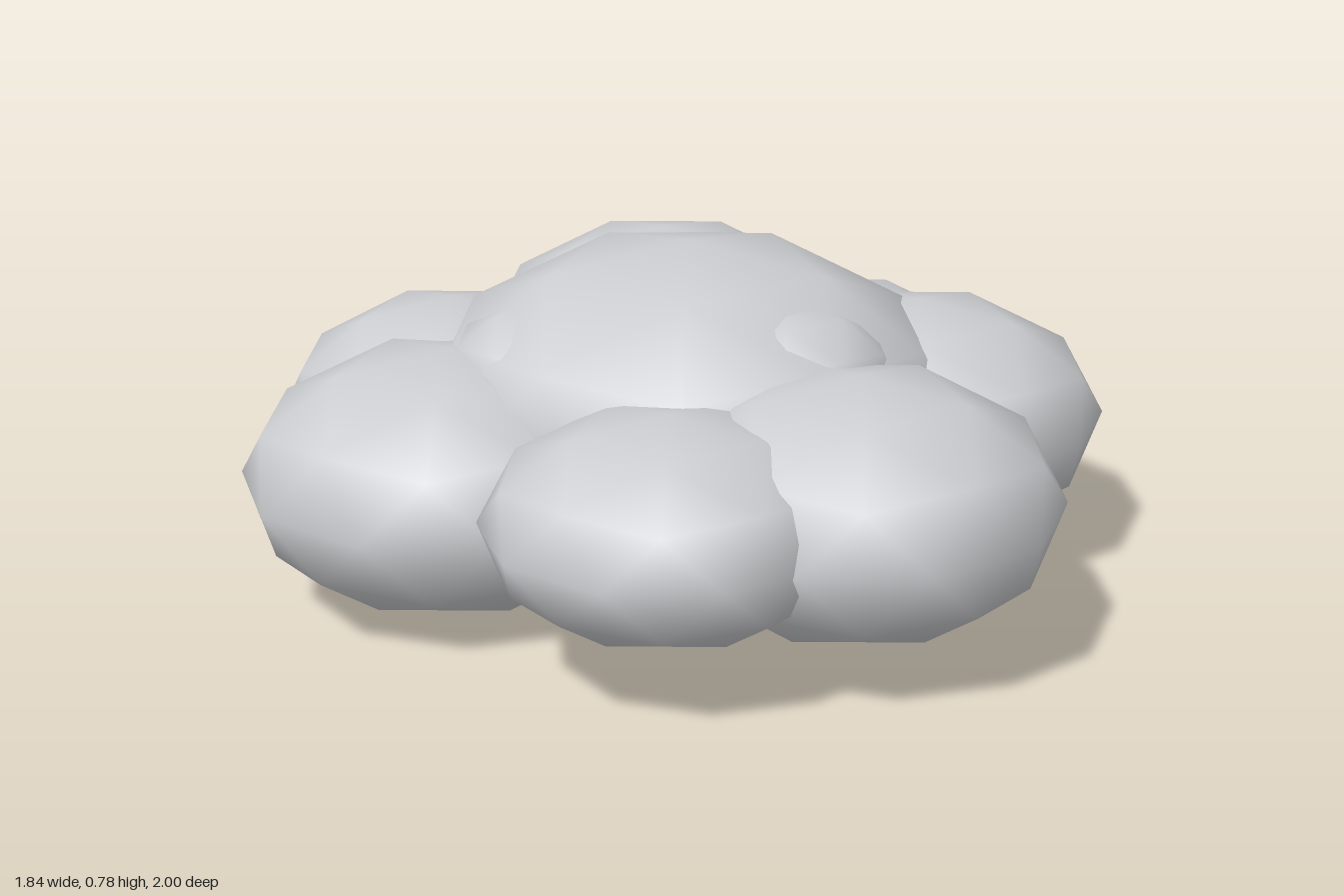
import * as THREE from 'three';

// Low-poly ball with a vertex at each pole and a ten-sided equator
function makeBall() {
  const ball = new THREE.IcosahedronGeometry(1, 1);
  ball.rotateZ(-Math.atan(2 / (1 + Math.sqrt(5))));
  return ball;
}

// name, centre x, y, z, horizontal radius, vertical radius
const PUFFS = [
  ['corePuff', 0, 0.4, -0.05, 0.62, 0.385],
  // ring of puffs around the core
  ['frontPuff', -0.19, 0.35, 0.545, 0.45, 0.285],
  ['frontLeftPuff', 0.4, 0.34, 0.315, 0.44, 0.275],
  ['leftPuff', 0.55, 0.315, 0, 0.385, 0.24],
  ['backLeftPuff', 0.435, 0.365, -0.455, 0.455, 0.29],
  ['backPuff', -0.195, 0.33, -0.6, 0.4, 0.27],
  ['backRightPuff', -0.473, 0.295, -0.365, 0.47, 0.295],
  ['frontRightPuff', -0.54, 0.354, 0.305, 0.4, 0.24],
  // small bumps just breaking through the top
  ['topBumpFront', -0.04, 0.53, 0.25, 0.25, 0.17],
  ['topBumpLeft', 0.31, 0.53, -0.22, 0.25, 0.17],
  ['topBumpRight', -0.27, 0.51, -0.22, 0.25, 0.17],
];

export function createModel() {
  const cloud = new THREE.Group();
  cloud.name = 'cloud';
  const cloudGrey = new THREE.MeshStandardMaterial({ color: 0xcccdd0 });
  cloudGrey.name = 'cloudGrey';
  const ball = makeBall();

  for (const [name, x, y, z, r, ry] of PUFFS) {
    const puff = new THREE.Mesh(ball, cloudGrey);
    puff.name = name;
    puff.position.set(x, y, z);
    puff.scale.set(r, ry, r);
    cloud.add(puff);
  }
  return cloud;
}
